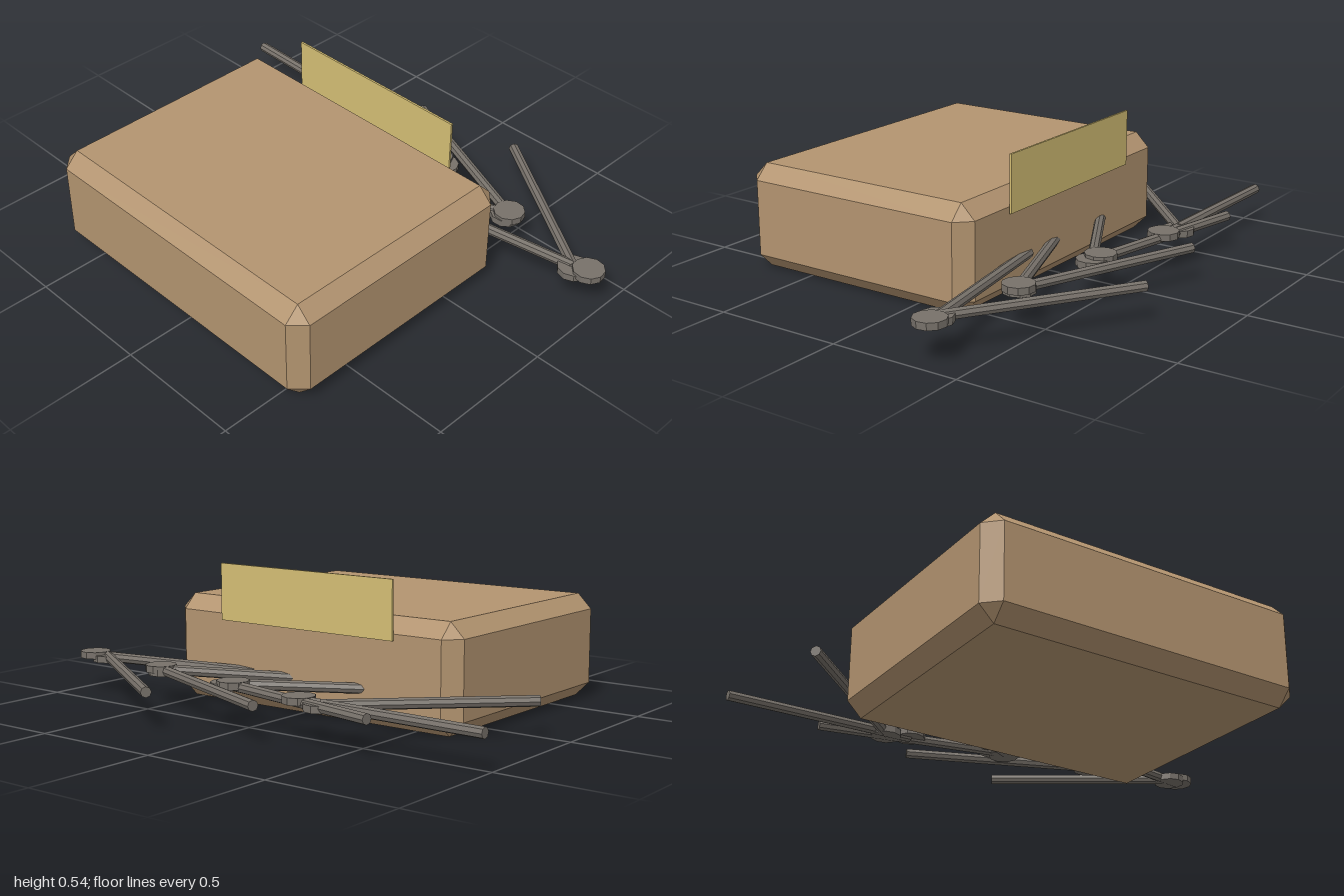
import * as THREE from 'three';
import { ConvexGeometry } from 'three/addons/geometries/ConvexGeometry.js';

const material = (color) => new THREE.MeshStandardMaterial({ color, flatShading: true });

// Box with every edge and corner cut off at 45 degrees
function chamferedBox(w, h, d, c) {
  const points = [];
  for (const x of [-1, 1]) for (const y of [-1, 1]) for (const z of [-1, 1]) {
    for (let axis = 0; axis < 3; axis++) {
      const cut = [c, c, c];
      cut[axis] = 0;
      points.push(new THREE.Vector3(x * (w / 2 - cut[0]), y * (h / 2 - cut[1]), z * (d / 2 - cut[2])));
    }
  }
  return new ConvexGeometry(points);
}

export function createModel() {
  const group = new THREE.Group();
  const add = (name, geometry, mat, parent = group) => {
    const mesh = new THREE.Mesh(geometry, mat);
    mesh.name = name;
    parent.add(mesh);
    return mesh;
  };

  // Body and upright plate behind it
  add('body', chamferedBox(1.29, 0.4, 1.005, 0.056), material(0xb39470)).position.set(-0.045, 0.2, 0.26);
  add('backPlate', new THREE.BoxGeometry(0.785, 0.215, 0.008), material(0xd4be74)).position.set(-0.047, 0.428, -0.251);

  // Four pairs of jointed rods, each: joint x, z, then tip x, z, then joint height
  const rodMaterial = material(0x77716a);
  const rods = [
    [-0.25, -0.53, -1.0, -0.545, 0.141],
    [-0.35, -0.54, -0.895, -0.03, 0.129],
    [0.1, -0.47, -0.6, -0.615, 0.141],
    [0.14, -0.46, -0.52, -0.11, 0.129],
    [0.52, -0.405, -0.18, -0.685, 0.141],
    [0.51, -0.4, -0.19, -0.15, 0.129],
    [0.935, -0.35, 0.2, -0.23, 0.141],
    [0.88, -0.335, 0.26, -0.745, 0.129],
  ];
  rods.forEach(([x, z, tipX, tipZ, y], i) => {
    const rod = new THREE.Group();
    rod.name = `rod${i + 1}`;
    const length = Math.hypot(tipX - x, tipZ - z);
    rod.position.set(x, 0, z);
    rod.rotation.y = Math.atan2(-(tipZ - z), tipX - x);
    const shaft = add('shaft', new THREE.CylinderGeometry(0.02, 0.02, length, 8), rodMaterial, rod);
    shaft.rotation.z = Math.PI / 2;
    shaft.position.set(length / 2, 0.134, 0);
    // Flat disc at the joint end
    add('jointDisc', new THREE.CylinderGeometry(0.06, 0.06, 0.026, 10), rodMaterial, rod).position.y = y;
    group.add(rod);
  });

  return group;
}
